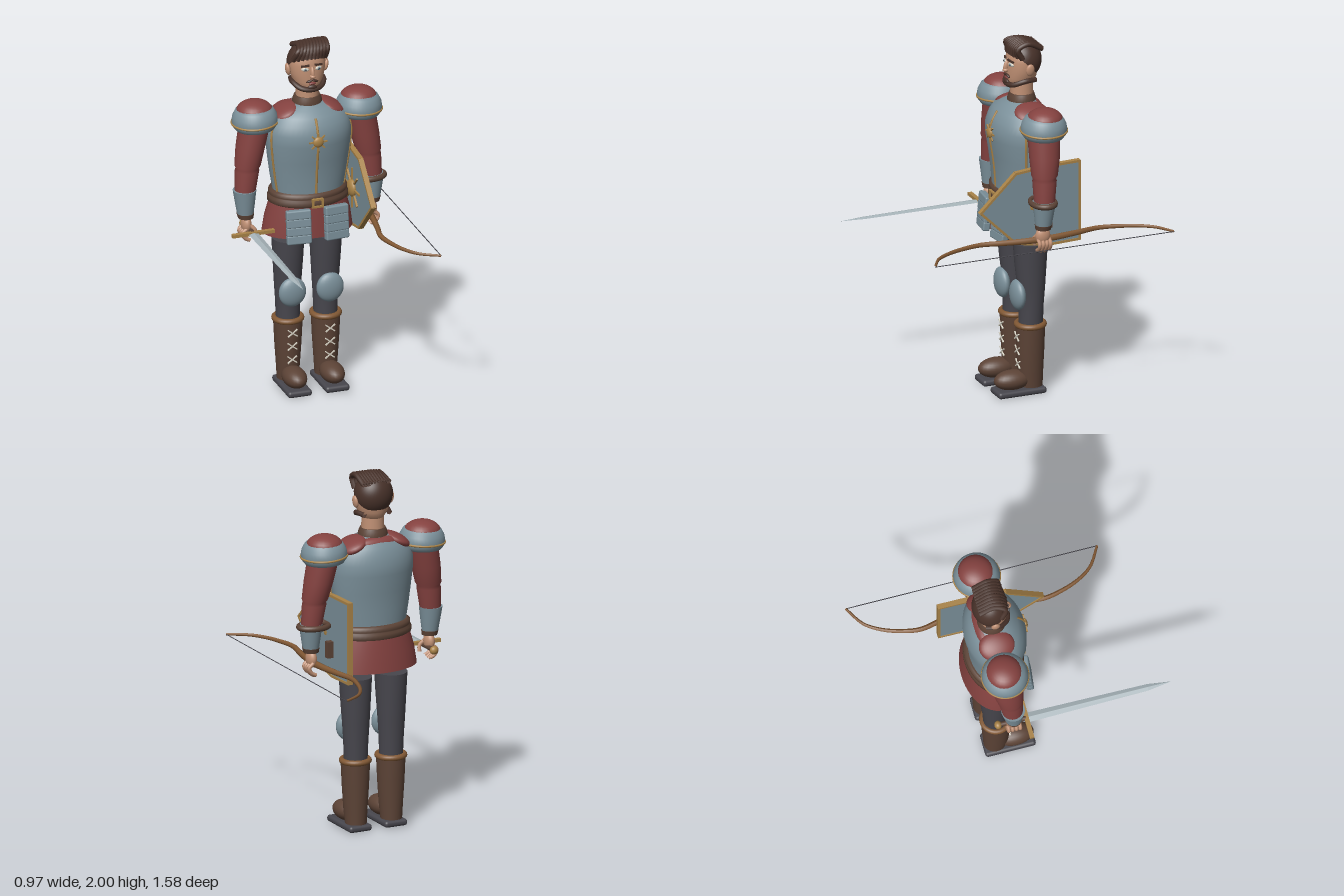
import * as THREE from 'three';
import { RoundedBoxGeometry } from 'three/addons/geometries/RoundedBoxGeometry.js';

const CX = -0.028; // body midline
const mat = (name, color, side = THREE.FrontSide) => {
  const m = new THREE.MeshStandardMaterial({ color, side });
  m.name = name;
  return m;
};

// Closed loft through elliptical sections [y, cx, cz, rx, rz], bottom to top
function loft(sections, seg = 32, flat = false) {
  const pos = [], idx = [];
  const ring = ([y, cx, cz, rx, rz]) => {
    for (let i = 0; i < seg; i++) {
      const t = (i / seg) * Math.PI * 2;
      pos.push(cx + rx * Math.sin(t), y, cz + rz * Math.cos(t));
    }
  };
  sections.forEach(ring);
  for (let j = 0; j < sections.length - 1; j++) for (let i = 0; i < seg; i++) {
    const a = j * seg + i, b = j * seg + (i + 1) % seg;
    idx.push(a, b, b + seg, a, b + seg, a + seg);
  }
  [sections[0], sections[sections.length - 1]].forEach((s, top) => {
    const o = pos.length / 3;
    ring(s);
    pos.push(s[1], s[0], s[2]);
    for (let i = 0; i < seg; i++) {
      const a = o + i, b = o + (i + 1) % seg;
      top ? idx.push(a, b, o + seg) : idx.push(b, a, o + seg);
    }
  });
  let g = new THREE.BufferGeometry();
  g.setAttribute('position', new THREE.Float32BufferAttribute(pos, 3));
  g.setIndex(idx);
  if (flat) g = g.toNonIndexed();
  g.computeVertexNormals();
  return g;
}

const V = (p) => new THREE.Vector3(...p);
const tube = (pts, r, closed = false, n = 32) =>
  new THREE.TubeGeometry(new THREE.CatmullRomCurve3(pts.map(V), closed), n, r, 8, closed);
const ball = (x, y, z) => new THREE.SphereGeometry(1, 24, 16).scale(x, y, z);
const box = (x, y, z) => new THREE.BoxGeometry(x, y, z);

export function createModel() {
  const root = new THREE.Group();
  const steel = mat('steel', 0x7b909a), red = mat('red cloth', 0x854240), hair = mat('dark brown hair', 0x48322a);
  const leather = mat('brown leather', 0x5c4336), dark = mat('charcoal', 0x47464d), gold = mat('gold', 0xa98348);
  const wood = mat('tan wood', 0x815834), skin = mat('skin', 0xc09074), white = mat('off white', 0xd6d2c4);
  const silver = mat('blade silver', 0xa6b3b8);
  const add = (name, geo, m, p = [0, 0, 0], r = [0, 0, 0], parent = root) => {
    const mesh = new THREE.Mesh(geo, m);
    mesh.name = name;
    mesh.position.set(...p);
    mesh.rotation.set(...r);
    parent.add(mesh);
    return mesh;
  };

  // Breastplate
  const torso = [
    [1.14, CX, -0.1, 0.195, 0.135], [1.24, CX, -0.1, 0.213, 0.14], [1.34, CX, -0.098, 0.227, 0.15],
    [1.44, CX, -0.097, 0.238, 0.166], [1.5, CX, -0.098, 0.238, 0.166], [1.55, CX, -0.1, 0.225, 0.15],
    [1.59, CX, -0.105, 0.195, 0.13], [1.62, CX, -0.11, 0.145, 0.1], [1.645, CX, -0.115, 0.075, 0.07]];
  add('breastplate', loft(torso, 48), steel);
  const onTorso = (y, t) => {
    const k = torso.findIndex((s) => s[0] >= y), a = torso[k - 1], b = torso[k];
    const [, x, z, rx, rz] = a.map((v, i) => v + (b[i] - v) * (y - a[0]) / (b[0] - a[0]));
    return [x + rx * Math.sin(t), y, z + rz * Math.cos(t)];
  };
  const trim = (y0, y1, t) => tube(Array.from({ length: 9 }, (_, i) => onTorso(y0 + (y1 - y0) * i / 8, t)), 0.007);
  add('chestRidge', trim(1.16, 1.59, 0), gold);
  for (const s of [-1, 1]) {
    add('breastplateEdge', trim(1.16, 1.53, s * 1.25), gold);
    add('shoulderCloth', ball(0.085, 0.035, 0.098), red, [CX + s * 0.13, 1.597, -0.12], [0, 0, -s * 0.45]);
  }
  add('backCloth', ball(0.11, 0.03, 0.04), red, [CX, 1.61, -0.18], [-0.6, 0, 0]);

  // Sun emblem, also used on the shield
  const sun = (name, r, len, w) => {
    const g = new THREE.Group();
    g.name = name;
    add('sunDisc', ball(r, r, r * 0.5), gold, [0, 0, 0], [0, 0, 0], g);
    for (let i = 0; i < 8; i++) {
      const a = i * Math.PI / 4;
      add('sunRay', box(len, w, w), gold, [Math.cos(a) * (r + len / 2 - 0.005), Math.sin(a) * (r + len / 2 - 0.005), 0], [0, 0, a], g);
    }
    root.add(g);
    return g;
  };
  sun('chestSun', 0.03, 0.026, 0.008).position.set(CX, 1.47, 0.07);

  // Skirt, belt and hip plates
  add('skirt', loft([[0.905, CX, -0.115, 0.252, 0.168], [1, CX, -0.112, 0.238, 0.16], [1.1, CX, -0.108, 0.21, 0.148]], 48), red);
  add('belt', loft([[1.08, CX, -0.105, 0.208, 0.148], [1.09, CX, -0.105, 0.224, 0.16], [1.115, CX, -0.105, 0.224, 0.16],
    [1.122, CX, -0.105, 0.212, 0.15], [1.13, CX, -0.105, 0.217, 0.155], [1.15, CX, -0.105, 0.217, 0.155],
    [1.158, CX, -0.105, 0.2, 0.14]], 48), leather);
  for (const y of [-0.021, 0.021]) add('buckleBar', box(0.064, 0.01, 0.014), gold, [CX, 1.11 + y, 0.058]);
  for (const x of [-0.027, 0.027]) add('buckleBar', box(0.01, 0.05, 0.014), gold, [CX + x, 1.11, 0.058]);
  for (const s of [-1, 1]) for (let i = 0; i < 4; i++)
    add('hipPlate', new RoundedBoxGeometry(0.136, 0.052, 0.04, 2, 0.009), steel,
      [CX + s * 0.107, 1.055 - i * 0.046, 0.05 + i * 0.004], [-0.12, s * 0.12, 0]);

  // Legs and boots
  for (const s of [-1, 1]) {
    const x = CX + s * 0.107;
    add('trouserLeg', loft([[0.38, x, -0.122, 0.064, 0.066], [0.5, x, -0.125, 0.068, 0.067], [0.6, x, -0.125, 0.074, 0.075],
      [0.74, x, -0.121, 0.082, 0.088], [0.86, x, -0.12, 0.088, 0.096]]), dark);
    add('kneeGuard', ball(0.077, 0.084, 0.037), steel, [x, 0.565, -0.046]);
    add('bootShaft', loft([[0.04, x, -0.125, 0.058, 0.062], [0.12, x, -0.12, 0.064, 0.07], [0.25, x, -0.12, 0.073, 0.076],
      [0.39, x, -0.12, 0.08, 0.08]]), leather);
    add('bootCuff', new THREE.TorusGeometry(0.073, 0.016, 12, 36).rotateX(Math.PI / 2), wood, [x, 0.39, -0.12]);
    add('bootFoot', ball(0.064, 0.055, 0.105), leather, [x, 0.083, -0.015]);
    add('bootSole', new RoundedBoxGeometry(0.136, 0.036, 0.28, 3, 0.016), dark, [x, 0.02, -0.052]);
    for (let i = 0; i < 3; i++) for (const k of [-1, 1]) {
      const y = 0.17 + i * 0.078;
      add('bootLace', box(0.066, 0.006, 0.008), white, [x, y, -0.047 + i * 0.003], [0, 0, k * 0.65]);
    }
  }

  // Arms
  const pauldron = [[0.08, 1.515], [0.108, 1.525], [0.122, 1.545], [0.126, 1.57], [0.12, 1.6], [0.103, 1.63], [0.07, 1.65], [0, 1.66]];
  for (const s of [-1, 1]) {
    const X = (d) => CX + s * d;
    add('sleeve', loft([[1.16, X(0.36), -0.094, 0.056, 0.056], [1.29, X(0.346), -0.1, 0.066, 0.066], [1.305, X(0.344), -0.1, 0.063, 0.063],
      [1.32, X(0.342), -0.102, 0.071, 0.072], [1.42, X(0.324), -0.11, 0.079, 0.084], [1.54, X(0.3), -0.115, 0.084, 0.09]]), red);
    add('pauldron', new THREE.LatheGeometry(pauldron.map((p) => new THREE.Vector2(p[0], p[1] - 1.56)), 40), steel,
      [X(0.295), 1.56, -0.118], [0, 0, -s * 0.05]);
    add('pauldronCap', ball(0.1, 0.062, 0.098), red, [X(0.295), 1.618, -0.123]);
    add('pauldronRim', new THREE.TorusGeometry(0.125, 0.006, 8, 48).rotateX(Math.PI / 2), gold, [X(0.295), 1.56, -0.118], [0, 0, -s * 0.05]);
    add('bracer', loft([[1.04, X(0.36), -0.088, 0.044, 0.044], [1.1, X(0.361), -0.09, 0.053, 0.053], [1.18, X(0.363), -0.092, 0.064, 0.064]]), steel);
    add('wristBand', loft([[1.02, X(0.358), -0.087, 0.042, 0.042], [1.046, X(0.36), -0.088, 0.047, 0.047]]), leather);
    add('palm', ball(0.028, 0.05, 0.042), skin, [X(0.356), 0.982, -0.086]);
    for (let i = 0; i < 4; i++) {
      const z = -0.12 + i * 0.021;
      add('finger', tube([[X(0.36), 0.965, z], [X(0.385), 0.94, z], [X(0.37), 0.91, z], [X(0.345), 0.885 + 0.008 * Math.abs(i - 1.5), z]], 0.0105, false, 12), skin);
    }
    add('thumb', tube([[X(0.345), 0.985, -0.06], [X(0.318), 0.955, -0.05], [X(0.312), 0.92, -0.058]], 0.011, false, 10), skin);
  }

  // Sword in the right hand
  add('swordBlade', loft([[0, 0, 0, 0.028, 0.008], [0.66, 0, 0, 0.019, 0.006], [0.79, 0, 0, 0.0005, 0.0005]], 4, true)
    .rotateX(Math.PI / 2), silver, [-0.37, 0.953, 0]);
  add('swordGuard', box(0.24, 0.018, 0.024), gold, [-0.37, 0.954, -0.012]);
  add('swordGrip', new THREE.CylinderGeometry(0.013, 0.013, 0.15, 16).rotateX(Math.PI / 2), leather, [-0.37, 0.953, -0.09]);
  add('swordPommel', ball(0.023, 0.023, 0.02), gold, [-0.37, 0.953, -0.17]);

  // Bow in the left hand: mirrored half outline [x, distance from grip]
  const limb = [[0.31, 0], [0.305, 0.09], [0.285, 0.22], [0.264, 0.34], [0.283, 0.45], [0.32, 0.55], [0.375, 0.63], [0.48, 0.697]];
  for (const s of [-1, 1]) {
    const g = tube(limb.map(([x, d]) => [x, 0.953, -0.09 + s * d]), 0.019, false, 48);
    const p = g.attributes.position, curve = g.parameters.path, c = new THREE.Vector3();
    for (let i = 0; i < p.count; i++) { // taper towards the tip
      const u = Math.floor(i / 9) / 48, k = 1 - 0.65 * u;
      curve.getPointAt(u, c);
      p.setXYZ(i, c.x + (p.getX(i) - c.x) * k, c.y + (p.getY(i) - c.y) * k, c.z + (p.getZ(i) - c.z) * k);
    }
    g.computeVertexNormals();
    add('bowLimb', g, wood);
  }
  add('bowString', new THREE.CylinderGeometry(0.0025, 0.0025, 1.394, 6).rotateX(Math.PI / 2), dark, [0.48, 0.953, -0.09]);

  // Shield on the left forearm, point forward
  const edge = [[-0.34, 0.895], [-0.15, 0.888], [0.03, 0.92], [0.235, 1.12], [0.03, 1.318], [-0.15, 1.335], [-0.34, 1.34]];
  const shape = new THREE.Shape(edge.map(([z, y]) => new THREE.Vector2(-z, y)));
  add('shieldBoard', new THREE.ExtrudeGeometry(shape, { depth: 0.018, bevelEnabled: false }).rotateY(Math.PI / 2), steel, [0.217, 0, 0]);
  edge.forEach(([z, y], i) => {
    const [z2, y2] = edge[(i + 1) % edge.length];
    add('shieldRim', box(0.028, 0.013, Math.hypot(z2 - z, y2 - y) + 0.008), gold,
      [0.226, (y + y2) / 2, (z + z2) / 2], [-Math.atan2(y2 - y, z2 - z), 0, 0]);
  });
  const boss = sun('shieldBoss', 0.05, 0.07, 0.01);
  boss.position.set(0.212, 1.115, -0.07);
  boss.rotation.y = Math.PI / 2;
  add('shieldStrap', new THREE.TorusGeometry(0.08, 0.016, 10, 36).rotateX(Math.PI / 2).scale(1.05, 1, 0.8), leather, [0.315, 1.165, -0.092]);
  add('shieldHandle', box(0.04, 0.09, 0.035), leather, [0.25, 1.04, -0.15]);

  // Neck and head
  add('neck', new THREE.CylinderGeometry(0.06, 0.063, 0.16, 28), skin, [CX, 1.68, -0.115]);
  add('collar', loft([[1.625, CX, -0.115, 0.08, 0.075], [1.64, CX, -0.115, 0.083, 0.078], [1.665, CX, -0.115, 0.077, 0.071],
    [1.68, CX, -0.115, 0.07, 0.066]]), leather);
  add('head', loft([[1.722, CX, -0.1, 0.035, 0.05], [1.74, CX, -0.105, 0.062, 0.072], [1.775, CX, -0.112, 0.083, 0.082],
    [1.82, CX, -0.115, 0.096, 0.085], [1.87, CX, -0.118, 0.101, 0.087], [1.92, CX, -0.12, 0.094, 0.082], [1.96, CX, -0.122, 0.06, 0.055]]), skin);
  add('hairCap', new THREE.SphereGeometry(1, 32, 16, 0, Math.PI * 2, 0, Math.PI * 0.54).rotateX(-0.72).scale(0.108, 0.112, 0.1),
    mat('dark brown hair', 0x48322a, THREE.DoubleSide), [CX, 1.868, -0.122]).material = Object.assign(hair, { side: THREE.DoubleSide });
  for (let i = 0; i < 10; i++) {
    const u = (i - 4.5) / 4.5;
    add('hairLock', tube([[CX + u * 0.075 + 0.018, 1.945, -0.195], [CX + u * 0.075 + 0.025, 1.983 - 0.012 * (u < 0 ? u * u : 0), -0.11],
      [CX + u * 0.083 + 0.012, 1.955, -0.055], [CX + u * 0.092, 1.897 + 0.012 * (1 - u * u), -0.042 - 0.04 * u * u]], 0.015, false, 16), hair);
  }
  add('beard', tube([[-0.075, 1.765, -0.165], [-0.088, 1.768, -0.1], [-0.056, 1.745, -0.045], [0, 1.737, -0.03],
    [0.056, 1.745, -0.045], [0.088, 1.768, -0.1], [0.075, 1.765, -0.165]], 0.0145), hair, [CX, 0, 0]);
  add('goatee', ball(0.026, 0.014, 0.012), hair, [CX, 1.752, -0.028]);
  add('mouth', ball(0.02, 0.007, 0.008), red, [CX, 1.774, -0.027]);
  add('noseBridge', ball(0.011, 0.034, 0.016), skin, [CX, 1.838, -0.026], [-0.25, 0, 0]);
  add('noseTip', ball(0.016, 0.012, 0.017), skin, [CX, 1.816, -0.022]);
  for (const s of [-1, 1]) {
    const x = CX + s * 0.038;
    add('moustache', ball(0.02, 0.007, 0.009), hair, [CX + s * 0.016, 1.788, -0.028], [0, s * 0.2, -s * 0.35]);
    add('eye', ball(0.021, 0.011, 0.008), white, [x, 1.855, -0.038], [0, s * 0.35, 0]);
    add('iris', ball(0.009, 0.009, 0.004), steel, [x, 1.855, -0.031]);
    add('pupil', ball(0.0045, 0.0045, 0.003), dark, [x, 1.855, -0.028]);
    add('eyebrow', box(0.046, 0.009, 0.012), hair, [x, 1.876, -0.036], [0, s * 0.35, -s * 0.15]);
    add('ear', ball(0.014, 0.035, 0.024), skin, [CX + s * 0.107, 1.835, -0.12], [0, 0, -s * 0.15]);
  }
  return root;
}
